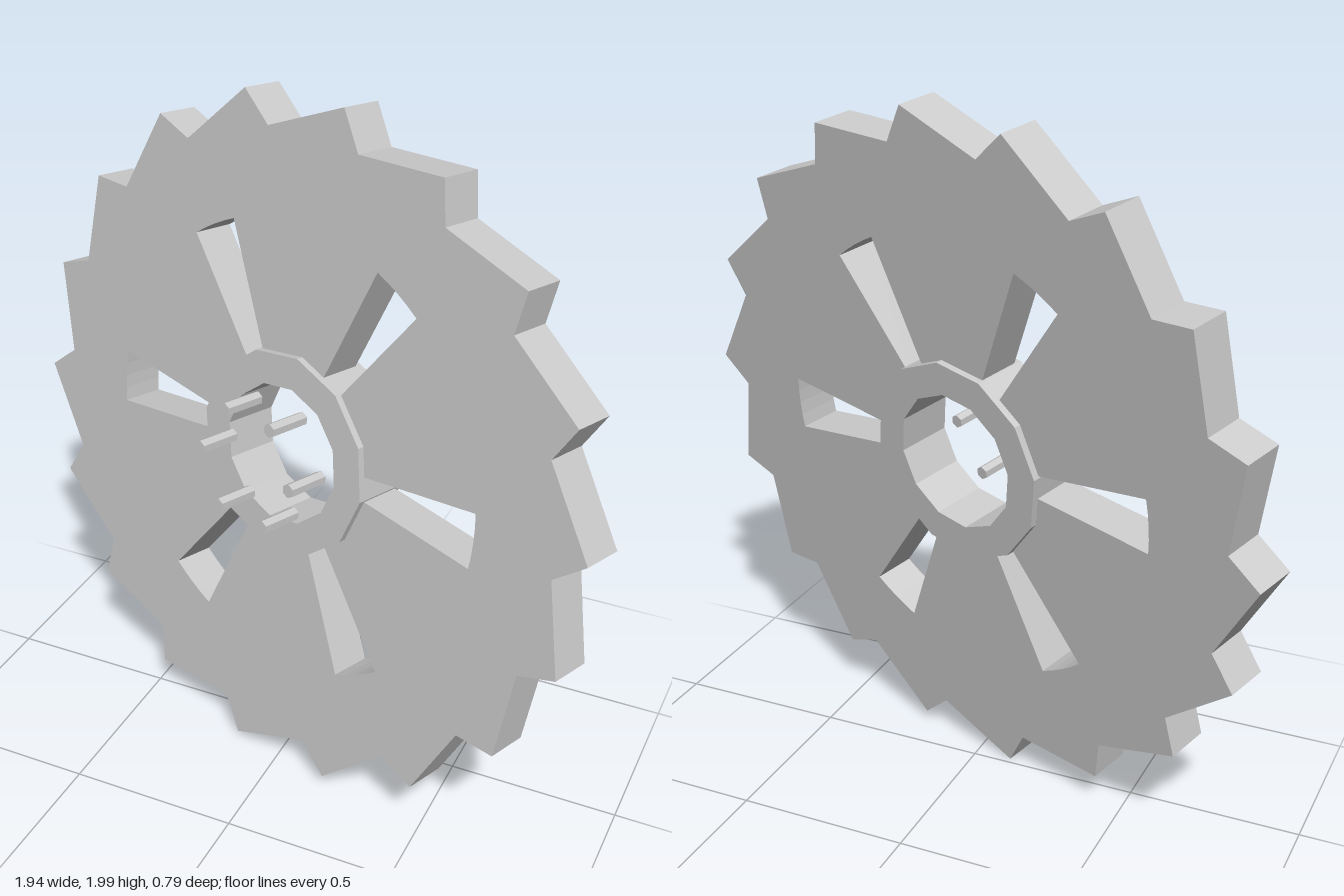
import * as THREE from 'three';

const polar = (r, deg) => {
  const a = THREE.MathUtils.degToRad(deg);
  return new THREE.Vector2(r * Math.cos(a), r * Math.sin(a));
};
const ring = (r, sides, offset = 0) =>
  Array.from({ length: sides }, (_, i) => polar(r, offset + (i * 360) / sides));

export function createModel() {
  const material = new THREE.MeshStandardMaterial({ color: 0xcccccc, flatShading: true });
  const wheel = new THREE.Group();
  wheel.name = 'toothedWheel';

  const addPart = (name, geometry) => {
    const mesh = new THREE.Mesh(geometry, material);
    mesh.name = name;
    wheel.add(mesh);
    return mesh;
  };
  // Flat plate centred on the wheel's middle plane
  const plate = (shape, depth) =>
    new THREE.ExtrudeGeometry(shape, { depth, bevelEnabled: false }).translate(0, 0, -depth / 2);

  // Disc with 18 slanted saw teeth
  const outline = [];
  for (let i = 0; i < 18; i++) outline.push(polar(0.903, i * 20), polar(1.0, i * 20 + 4.4));
  const disc = new THREE.Shape(outline);
  disc.holes.push(new THREE.Path(ring(0.24, 12, -6)));

  // Six wedge slots widening outward
  for (let i = 0; i < 6; i++) {
    const mid = i * 60;
    const slot = [polar(0.275, mid + 7), polar(0.275, mid - 7)];
    for (let k = -1; k <= 1; k += 0.5) slot.push(polar(0.66, mid + 7 * k));
    disc.holes.push(new THREE.Path(slot));
  }
  addPart('toothedDisc', plate(disc, 0.13));

  // Hub ring standing slightly proud on both faces
  const hub = new THREE.Shape(ring(0.298, 12, -6));
  hub.holes.push(new THREE.Path(ring(0.203, 12, -6)));
  addPart('hubRing', plate(hub, 0.172));

  // Six short hexagonal pins in front of the hub bore
  const pinGeometry = new THREE.CylinderGeometry(0.02, 0.02, 0.13, 6).rotateX(Math.PI / 2);
  for (let i = 0; i < 6; i++) {
    const p = polar(0.168, i * 60);
    addPart('pin', pinGeometry).position.set(p.x, p.y, 0.17);
  }

  // Lean the wheel: its axle points forward, a little right and up
  const axle = new THREE.Vector3(-0.311, 0.117, 0.943).normalize();
  const across = new THREE.Vector3(0, 1, 0).cross(axle).normalize();
  const up = axle.clone().cross(across);
  wheel.quaternion.setFromRotationMatrix(new THREE.Matrix4().makeBasis(across, up, axle));
  wheel.position.set(0, 1, 0);

  const model = new THREE.Group();
  model.name = 'sawWheel';
  model.add(wheel);
  return model;
}
